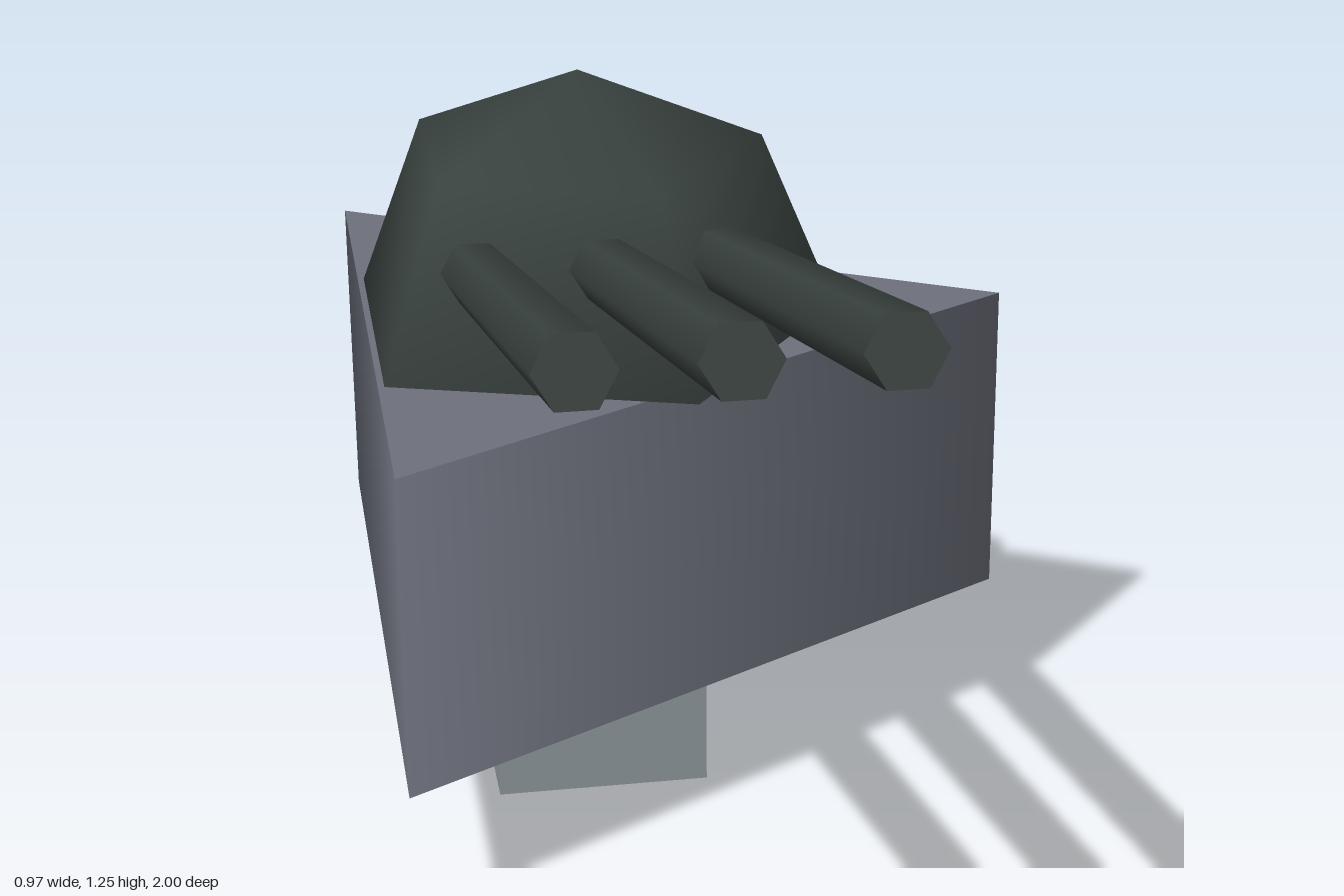
import * as THREE from 'three';

export function createModel() {
  const model = new THREE.Group();
  model.name = 'gunTurret';

  const material = (name, color) => {
    const m = new THREE.MeshStandardMaterial({ color });
    m.name = name;
    return m;
  };
  const darkGreen = material('darkGreenMetal', 0x39423f);
  const slate = material('slateGrey', 0x6e717d);
  const lightGrey = material('lightGrey', 0x8c949a);

  // All turret parts share one vertical axis
  const cx = -0.163, cz = -0.437;
  const add = (name, geometry, mat, x, y, z) => {
    const mesh = new THREE.Mesh(geometry, mat);
    mesh.name = name;
    mesh.position.set(x, y, z);
    model.add(mesh);
    return mesh;
  };

  // Square mounting post
  add('mountingPost', new THREE.BoxGeometry(0.325, 0.23, 0.325), lightGrey, cx, 0.115, cz);

  // Three-sided base with a corner towards +x
  add('triangularBase',
    new THREE.CylinderGeometry(0.65, 0.65, 0.49, 3, 1, false, Math.PI / 2),
    slate, cx, 0.475, cz);

  // Five-sided dome with its flat underside
  const r = 0.39;
  add('dome',
    new THREE.SphereGeometry(r, 5, 2, Math.PI, Math.PI * 2, 0, Math.PI / 2),
    darkGreen, cx, 0.72, cz);
  add('domeUnderside', new THREE.CircleGeometry(r, 5).rotateX(Math.PI / 2),
    darkGreen, cx, 0.72, cz);

  // Three raised six-sided barrels
  const barrel = new THREE.CylinderGeometry(0.048, 0.048, 1.3, 6, 1, false, Math.PI / 2);
  for (let i = -1; i <= 1; i++) {
    const mesh = add('barrel' + (i + 2), barrel, darkGreen, cx + i * 0.179, 1.037, 0.361);
    mesh.rotation.x = THREE.MathUtils.degToRad(75);
  }

  return model;
}
